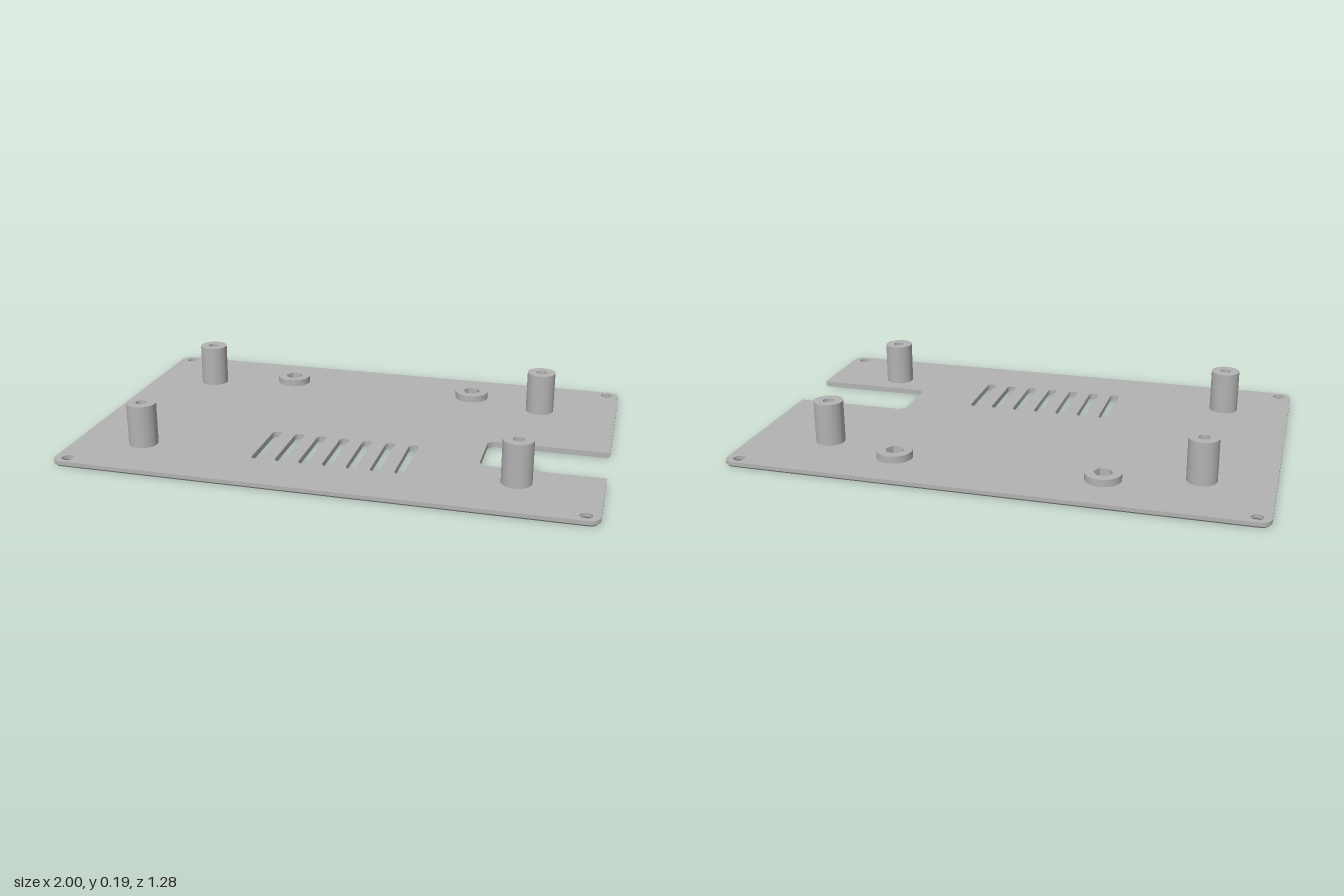
import * as THREE from 'three';
import { toCreasedNormals } from 'three/addons/utils/BufferGeometryUtils.js';

const W = 1, D = 0.64, T = 0.022, R = 0.04;   // half width, half depth, thickness, corner radius
const CHAMFER = 0.007;
const SCREW = { x: 0.95, z: 0.6, r: 0.022, sink: 0.03 };
const STANDOFFS = [[-0.737, -0.35], [0.693, -0.35], [-0.737, 0.393], [0.693, 0.393]];
const BOSSES = [[-0.396, -0.435], [0.396, -0.435]];
const BORE = 0.032;

const circle = (x, z, r) => new THREE.Path().absarc(x, z, r, 0, Math.PI * 2, true);

// Upright extrusion: shape y becomes z, top face at y = top
function extrudeUp(shape, depth, top, steps = 1) {
  const g = new THREE.ExtrudeGeometry(shape, { depth, steps, bevelEnabled: false, curveSegments: 16 });
  return g.rotateX(Math.PI / 2).translate(0, top, 0);
}

function plateShape() {
  const q = Math.PI / 2, nx = 0.54, z0 = 0.038, z1 = 0.278, nr = 0.035;
  const s = new THREE.Shape();
  s.moveTo(-W + R, -D);
  s.absarc(W - R, -D + R, R, -q, 0, false);
  // cable notch in the +x edge
  s.lineTo(W, z0);
  s.absarc(nx + nr, z0 + nr, nr, -q, -2 * q, true);
  s.absarc(nx + nr, z1 - nr, nr, 2 * q, q, true);
  s.lineTo(W, z1);
  s.absarc(W - R, D - R, R, 0, q, false);
  s.absarc(-W + R, D - R, R, q, 2 * q, false);
  s.absarc(-W + R, -D + R, R, 2 * q, 3 * q, false);

  for (const x of [-SCREW.x, SCREW.x])
    for (const z of [-SCREW.z, SCREW.z]) s.holes.push(circle(x, z, SCREW.r));
  for (const [x, z] of STANDOFFS) s.holes.push(circle(x, z, BORE));
  for (const [x, z] of BOSSES) s.holes.push(circle(x, z, 0.02));

  // ventilation slots with round ends
  const w = 0.018;
  for (let i = -3; i <= 3; i++) {
    const x = i * 0.091, p = new THREE.Path();
    p.absarc(x, 0.155 + w, w, 0, Math.PI, true);
    p.absarc(x, 0.43 - w, w, Math.PI, 0, true);
    p.closePath();
    s.holes.push(p);
  }
  return s;
}

// Plate: chamfer the lower outer rim and countersink the screw holes from below
function plateGeometry() {
  const g = extrudeUp(plateShape(), T, T, 3);
  const p = g.attributes.position;
  for (let i = 0; i < p.count; i++) {
    if (p.getY(i) > 0.001) continue;
    const x = p.getX(i), z = p.getZ(i);
    const dx = x - THREE.MathUtils.clamp(x, -W + R, W - R);
    const dz = z - THREE.MathUtils.clamp(z, -D + R, D - R);
    const d = Math.hypot(dx, dz);
    const cx = Math.sign(x) * SCREW.x, cz = Math.sign(z) * SCREW.z;
    if (Math.hypot(x - cx, z - cz) < SCREW.r + 0.001) {
      const k = SCREW.sink / SCREW.r;
      p.setXYZ(i, cx + (x - cx) * k, 0, cz + (z - cz) * k);
    } else if (d > R - 0.001) {
      p.setXYZ(i, x - dx / d * CHAMFER, 0, z - dz / d * CHAMFER);
    }
  }
  return toCreasedNormals(g, 0.5);
}

function lathe(points) {
  const g = new THREE.LatheGeometry(points.map(([r, y]) => new THREE.Vector2(r, y)), 40);
  return toCreasedNormals(g, 0.5);
}

// Ring with a hexagonal nut pocket
function bossGeometry() {
  const s = new THREE.Shape().absarc(0, 0, 0.068, 0, Math.PI * 2, false);
  const hex = [];
  for (let i = 0; i < 6; i++) {
    const a = -i * Math.PI / 3;
    hex.push(new THREE.Vector2(0.037 * Math.cos(a), 0.037 * Math.sin(a)));
  }
  s.holes.push(new THREE.Path(hex).closePath());
  return toCreasedNormals(extrudeUp(s, 0.05 - T, 0.05), 0.5);
}

export function createModel() {
  const model = new THREE.Group();
  model.name = 'mountingPlate';
  const grey = new THREE.MeshStandardMaterial({ color: 0xb2b2b2 });
  grey.name = 'grey';
  const add = (name, geometry, x = 0, z = 0) => {
    const m = new THREE.Mesh(geometry, grey);
    m.name = name;
    m.position.set(x, 0, z);
    model.add(m);
  };

  add('plate', plateGeometry());

  // Standoffs: blind hole from the top, wider bore from below
  const post = lathe([[0.056, T], [0.056, 0.187], [0.021, 0.187], [0.021, 0.12], [0, 0.12]]);
  const bore = lathe([[0, 0.1], [BORE, 0.1], [BORE, T]]);
  for (const [x, z] of STANDOFFS) {
    add('standoff', post, x, z);
    add('standoffBore', bore, x, z);
  }

  const boss = bossGeometry();
  for (const [x, z] of BOSSES) add('nutBoss', boss, x, z);
  return model;
}
